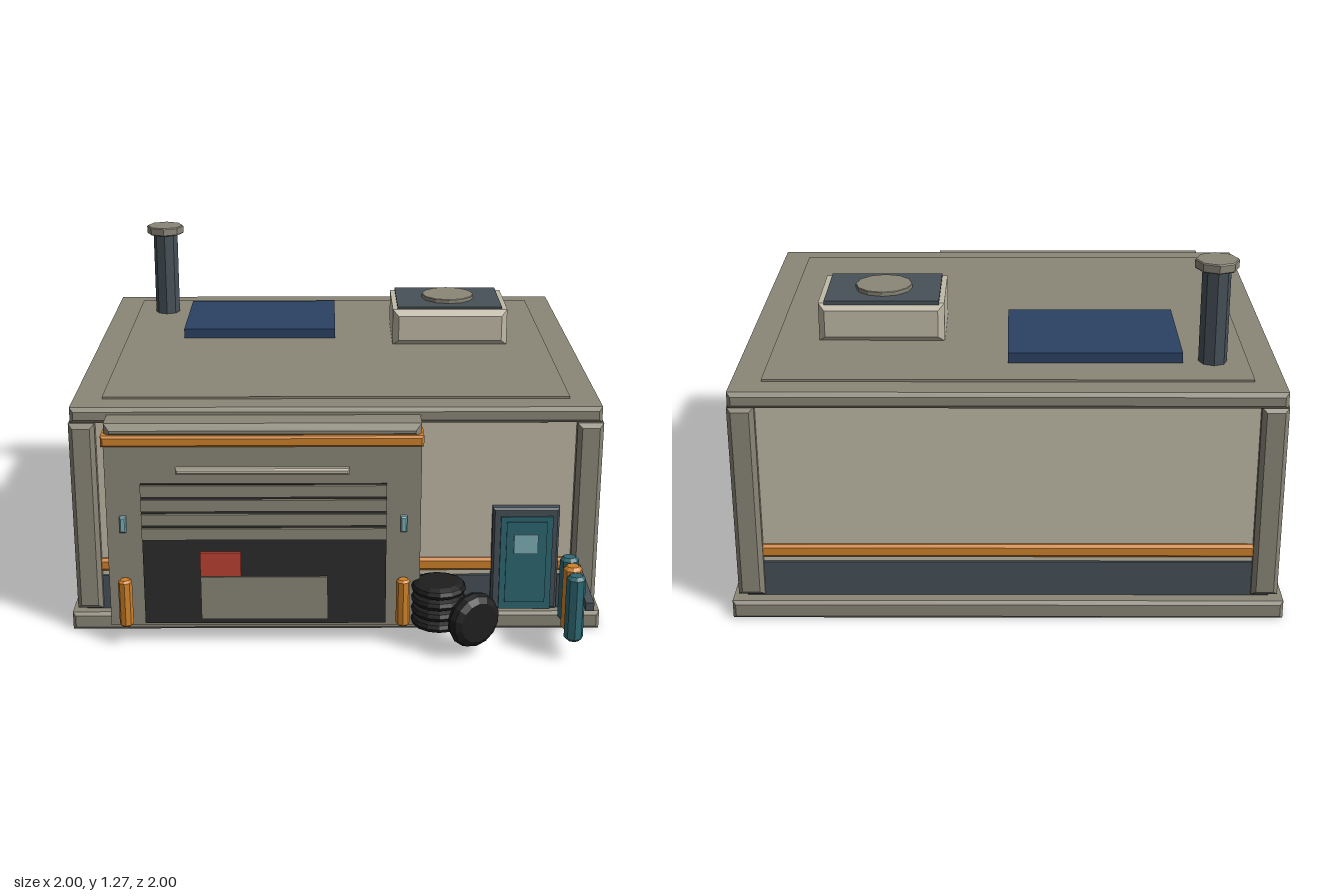
import * as THREE from 'three';

const mat = (name, color) => {
  const m = new THREE.MeshStandardMaterial({ color });
  m.name = name;
  return m;
};

export function createModel() {
  const concrete = mat('concrete grey', 0x8a8677);
  const wall = mat('wall beige', 0xbfb9a6);
  const slate = mat('slate', 0x465158);
  const orange = mat('orange', 0xcf8129);
  const teal = mat('teal', 0x2f6872);
  const glass = mat('pale glass', 0x7db0b9);
  const navy = mat('solar navy', 0x2b4162);
  const red = mat('red', 0xbb4232);
  const dark = mat('dark opening', 0x2c2c2c);
  const rubber = mat('rubber', 0x1e1e1e);

  const model = new THREE.Group();
  model.name = 'garageBuilding';

  const add = (name, geometry, material, x = 0, y = 0, z = 0, parent = model) => {
    const mesh = new THREE.Mesh(geometry, material);
    mesh.name = name;
    mesh.position.set(x, y, z);
    parent.add(mesh);
    return mesh;
  };

  // Box given by its extents, with an optional chamfer on every edge
  const box = (name, material, [x0, x1], [y0, y1], [z0, z1], c = 0) => {
    const w = x1 - x0, h = y1 - y0, d = z1 - z0;
    let g;
    if (c) {
      const a = w / 2 - c, b = h / 2 - c;
      const s = new THREE.Shape([[-a, -b], [a, -b], [a, b], [-a, b]].map(p => new THREE.Vector2(...p)));
      g = new THREE.ExtrudeGeometry(s, { depth: d - 2 * c, bevelEnabled: true, bevelThickness: c, bevelSize: c, bevelSegments: 1 });
      g.translate(0, 0, c - d / 2);
    } else g = new THREE.BoxGeometry(w, h, d);
    return add(name, g, material, (x0 + x1) / 2, (y0 + y1) / 2, (z0 + z1) / 2);
  };

  // Faceted solid of revolution from [radius, height] pairs
  const turned = (points, sides) => {
    const g = new THREE.LatheGeometry(points.map(p => new THREE.Vector2(...p)), sides).toNonIndexed();
    g.computeVertexNormals();
    return g;
  };
  const post = (r, h, c, sides = 8) => turned([[0, 0], [r - c, 0], [r, c], [r, h - c], [r - c, h], [0, h]], sides);

  // Main building
  box('baseSlab', concrete, [-1, 1], [0, 0.07], [-1, 0.68], 0.012);
  box('walls', wall, [-0.94, 0.94], [0.06, 0.83], [-0.935, 0.625]);
  box('skirting', slate, [-0.95, 0.95], [0.07, 0.205], [-0.945, 0.635]);
  box('wallStripe', orange, [-0.957, 0.957], [0.225, 0.275], [-0.952, 0.642], 0.01);
  for (const x of [-0.933, 0.933]) {
    for (const z of [-0.922, 0.617]) {
      box('cornerPillar', concrete, [x - 0.048, x + 0.048], [0.08, 0.82], [z - 0.05, z + 0.05], 0.016);
    }
  }
  box('roof', concrete, [-0.975, 0.975], [0.82, 0.88], [-0.98, 0.657], 0.014);
  box('roofPanel', concrete, [-0.868, 0.868], [0.87, 0.888], [-0.87, 0.545]);

  // Strip windows on both side walls
  for (const s of [-1, 1]) {
    const x = s * 0.945;
    box('sideWindow', glass, [x - 0.012, x + 0.012], [0.585, 0.685], [-0.68, 0.26]);
  }

  // Chimney
  add('chimney', post(0.052, 0.38, 0.002), slate, -0.74, 0.87, -0.685);
  add('chimneyCap', post(0.079, 0.035, 0.004), concrete, -0.74, 1.24, -0.685);

  // Roof equipment
  box('solarPanel', navy, [-0.63, 0], [0.888, 0.927], [-0.71, -0.245]);
  box('ventBody', wall, [0.237, 0.707], [0.885, 1.035], [-0.5, -0.13], 0.024);
  box('ventTop', slate, [0.257, 0.685], [1.025, 1.044], [-0.482, -0.157]);
  add('ventFan', post(0.108, 0.018, 0.002, 12), concrete, 0.472, 1.042, -0.32);

  // Garage front
  box('garageBlock', concrete, [-0.838, 0.308], [0.07, 0.79], [0.6, 0.78]);
  box('garageCap', concrete, [-0.838, 0.308], [0.8, 0.855], [0.6, 0.772], 0.022);
  box('garageBand', orange, [-0.847, 0.315], [0.775, 0.817], [0.675, 0.787], 0.008);
  box('garageOpening', dark, [-0.71, 0.183], [0.08, 0.635], [0.778, 0.786]);
  for (let i = 0; i < 4; i++) {
    const y = 0.42 + i * 0.056;
    box('shutterSlat', concrete, [-0.71, 0.183], [y, y + 0.044], [0.78, 0.797]);
  }
  box('lightBar', wall, [-0.58, 0.047], [0.677, 0.699], [0.775, 0.805], 0.006);
  box('crate', concrete, [-0.5, -0.032], [0.1, 0.27], [0.775, 0.793]);
  box('redBox', red, [-0.5, -0.35], [0.275, 0.37], [0.775, 0.798]);
  for (const x of [-0.778, 0.246]) {
    box('wallLamp', glass, [x - 0.012, x + 0.012], [0.448, 0.51], [0.775, 0.797], 0.005);
    add('bollard', post(0.026, 0.185, 0.008), orange, x, 0.08, 0.8);
  }

  // Entrance door
  box('doorFrame', slate, [0.585, 0.835], [0.075, 0.487], [0.62, 0.66], 0.008);
  box('door', teal, [0.615, 0.81], [0.08, 0.455], [0.65, 0.669]);
  box('doorPanel', teal, [0.637, 0.788], [0.11, 0.435], [0.66, 0.674]);
  box('doorWindow', glass, [0.665, 0.755], [0.31, 0.388], [0.67, 0.679]);

  // Tyre stack and one leaning tyre
  const tyre = (r, t) => turned([[0, -t], [r * 0.72, -t], [r * 0.93, -t * 0.6], [r, 0], [r * 0.93, t * 0.6], [r * 0.72, t], [0, t]], 14);
  for (let i = 0; i < 4; i++) add('stackedTyre', tyre(0.102, 0.023), rubber, 0.377, 0.103 + i * 0.0435, 0.795);
  const leaning = new THREE.Group();
  leaning.name = 'leaningTyre';
  leaning.position.set(0.5, 0.143, 0.888);
  leaning.rotation.y = Math.PI / 6;
  add('tyre', tyre(0.106, 0.036), rubber, 0, 0, 0, leaning).rotation.x = Math.PI / 2;
  model.add(leaning);

  // Gas bottles on a rail
  [0.757, 0.84, 0.924].forEach((z, i) => {
    add('gasBottle', post(0.035, 0.255, 0.012), i === 1 ? orange : teal, 0.862, 0.08, z);
  });
  box('bottleRail', slate, [0.888, 0.918], [0.23, 0.262], [0.6, 1]);

  return model;
}
